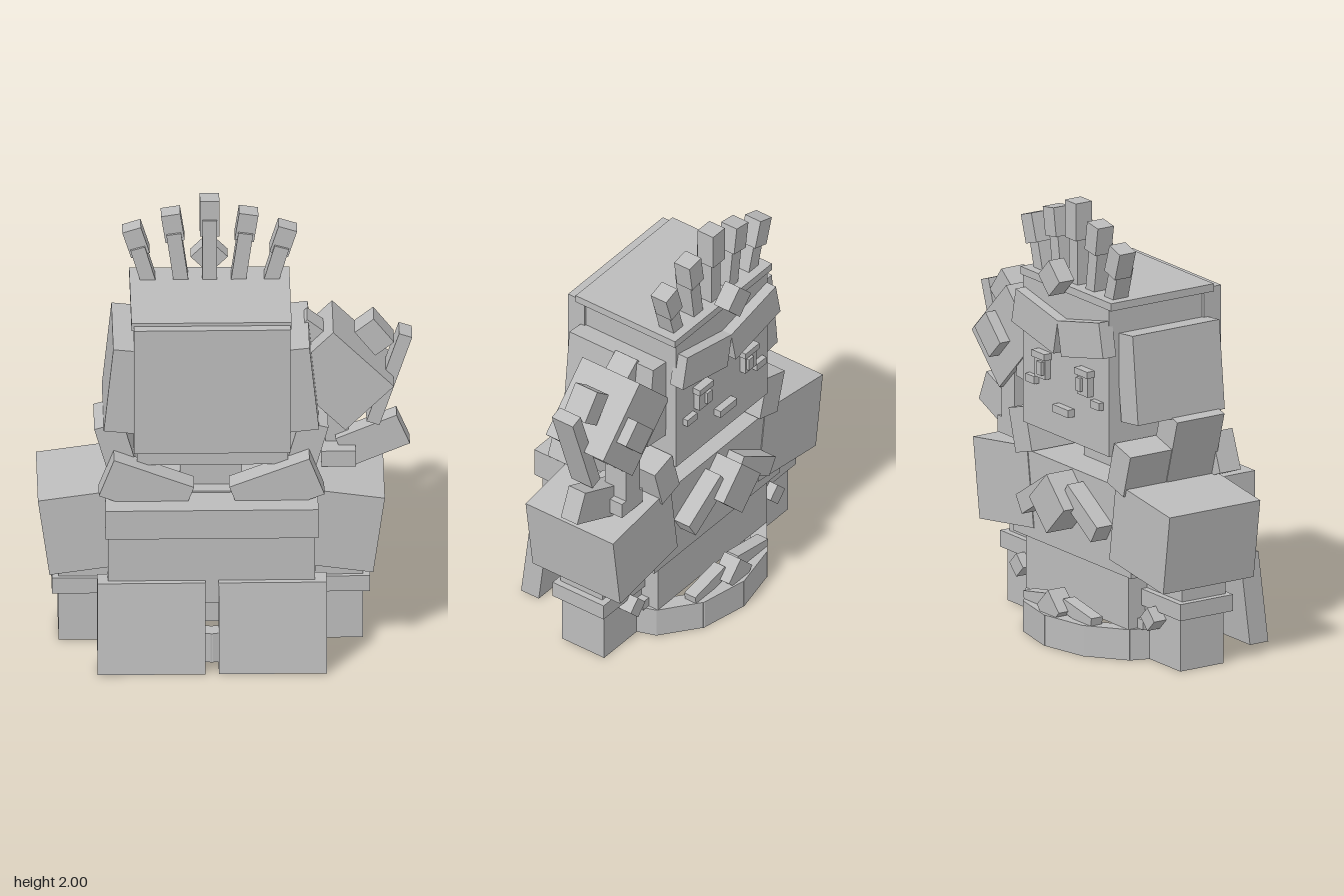
import * as THREE from 'three';

const CX = -0.065; // body's middle line
const stone = new THREE.MeshStandardMaterial({ color: 0xbcbcbc });
stone.name = 'grey stone';

export function createModel() {
  const model = new THREE.Group();
  model.name = 'chibiFigure';

  // box by centre and size, turned about z (degrees)
  function box(name, x, y, z, w, h, d, rz = 0) {
    const m = new THREE.Mesh(new THREE.BoxGeometry(w, h, d), stone);
    m.name = name;
    m.position.set(x, y, z);
    m.rotation.z = THREE.MathUtils.degToRad(rz);
    model.add(m);
    return m;
  }
  // box by its limits
  const span = (name, x0, x1, y0, y1, z0, z1) =>
    box(name, (x0 + x1) / 2, (y0 + y1) / 2, (z0 + z1) / 2, x1 - x0, y1 - y0, z1 - z0);
  // mirrored pair, dx measured from the middle line
  const pair = (name, dx, y, z, w, h, d, rz = 0) => [
    box(name + 'Left', CX + dx, y, z, w, h, d, rz),
    box(name + 'Right', CX - dx, y, z, w, h, d, -rz),
  ];

  // head and hair
  span('head', -0.39, 0.27, 0.92, 1.6, -0.305, 0.21);
  span('backHair', -0.405, 0.28, 1.01, 1.61, 0.19, 0.28);
  span('topHair', -0.415, 0.285, 1.59, 1.625, -0.31, 0.235);
  pair('sideHair', 0.385, 1.28, -0.02, 0.13, 0.4, 0.46, 6);
  pair('fringe', 0.175, 1.425, -0.32, 0.33, 0.16, 0.07, 12);
  box('hairJewel', CX, 1.67, -0.36, 0.115, 0.115, 0.08, 45);
  span('neck', -0.2, 0.07, 0.77, 0.94, -0.12, 0.13);

  // face
  pair('eye', 0.165, 1.215, -0.315, 0.08, 0.1, 0.04);
  pair('eyelid', 0.165, 1.27, -0.325, 0.1, 0.03, 0.04);
  pair('pupil', 0.15, 1.215, -0.33, 0.035, 0.06, 0.04);
  pair('cheek', 0.25, 1.14, -0.31, 0.07, 0.035, 0.04);
  box('mouth', CX, 1.055, -0.315, 0.12, 0.035, 0.05);

  // fan of crest spikes, caps set slightly forward of the stems
  for (let i = -2; i <= 2; i++) {
    const a = -i * 8, r = THREE.MathUtils.degToRad(a);
    const tipX = CX + i * 0.163, tipY = 1.95 - [0, 0.065, 0.135][Math.abs(i)];
    const s = Math.sin(r), c = Math.cos(r);
    const capH = i ? 0.13 : 0.17, drop = capH / 2 - 0.05;
    box('spikeCap', tipX + s * drop, tipY - c * drop, -0.243, 0.085, capH, 0.085, a * 1.1);
    box('spikeStem', tipX + s * 0.195, tipY - c * 0.195, -0.229, 0.065, 0.31, 0.08, a);
  }

  // torso and sleeves
  span('torso', -0.52, 0.39, 0.39, 0.785, -0.276, 0.198);
  span('lowerBody', -0.46, 0.33, 0.14, 0.4, -0.25, 0.18);
  span('bodyHem', -0.5, 0.37, 0.14, 0.185, -0.2, 0.18);
  pair('sleeve', 0.525, 0.592, -0.04, 0.42, 0.365, 0.48, -8);

  // collar
  pair('collarBack', 0.285, 0.825, 0.225, 0.375, 0.185, 0.11, 21);
  pair('collarSide', 0.405, 0.945, 0.055, 0.13, 0.32, 0.25, -16);
  pair('collarFront', 0.38, 0.87, -0.175, 0.13, 0.2, 0.23, -16);

  // rear sash and sloping coat tails
  span('rearBelt', -0.53, 0.4, 0.64, 0.778, 0.19, 0.375);
  span('rearCoat', -0.52, 0.385, 0.31, 0.65, 0.2, 0.34);
  const slope = new THREE.Matrix4().makeShear(0, 0, 0, -0.125, 0, 0);
  for (const tail of pair('coatTail', 0.265, 0.21, 0.345, 0.472, 0.42, 0.097)) {
    tail.geometry.applyMatrix4(slope);
    tail.geometry.computeVertexNormals();
  }

  // hands with bracelets
  pair('wrist', 0.505, 0.34, -0.035, 0.32, 0.2, 0.23);
  pair('hand', 0.505, 0.13, -0.045, 0.32, 0.26, 0.23);
  pair('bracelet', 0.515, 0.278, -0.04, 0.36, 0.075, 0.28);
  pair('cuff', 0.505, 0.415, -0.035, 0.36, 0.06, 0.3);
  pair('braceletJewel', 0.505, 0.21, -0.19, 0.075, 0.075, 0.07, 45);

  // chest bow
  box('bowKnot', CX, 0.645, -0.335, 0.19, 0.19, 0.155, 45);
  pair('bowRibbon', 0.175, 0.635, -0.315, 0.27, 0.09, 0.09, -32);

  // hem ring of overlapping blocks
  const N = 12;
  for (let i = 0; i < N; i++) {
    const a = ((i + 0.5) / N) * Math.PI * 2;
    const x = Math.cos(a) * 0.41, z = Math.sin(a) * 0.315;
    const tx = -Math.sin(a) * 0.41, tz = Math.cos(a) * 0.315;
    const m = box('hemBlock', CX + x, 0.07, -0.06 + z, Math.hypot(tx, tz) * 0.6, 0.14, 0.075);
    m.rotation.y = Math.atan2(-tz, tx);
  }
  box('hemKnot', CX, 0.165, -0.36, 0.12, 0.12, 0.09, 45);
  pair('hemRibbon', 0.15, 0.165, -0.325, 0.22, 0.06, 0.06, -10);

  // ornament at the side of the head
  box('ornamentBlock', 0.497, 1.245, -0.1, 0.375, 0.3, 0.315, -45);
  box('ornamentPlate', 0.54, 1.25, -0.28, 0.12, 0.16, 0.06, -45);
  box('ornamentEarOuter', 0.652, 1.41, -0.1, 0.105, 0.145, 0.12, 38);
  box('ornamentEarInner', 0.355, 1.41, -0.1, 0.105, 0.145, 0.12, -38);
  box('ornamentRod', 0.717, 1.205, -0.095, 0.06, 0.45, 0.115, -18.5);
  span('ornamentStem', 0.44, 0.54, 0.84, 1.1, -0.235, -0.12);
  span('ornamentFoot', 0.42, 0.57, 0.79, 0.865, -0.235, -0.02);
  box('ornamentTail', 0.645, 0.883, -0.125, 0.29, 0.15, 0.09, 23);

  return model;
}
